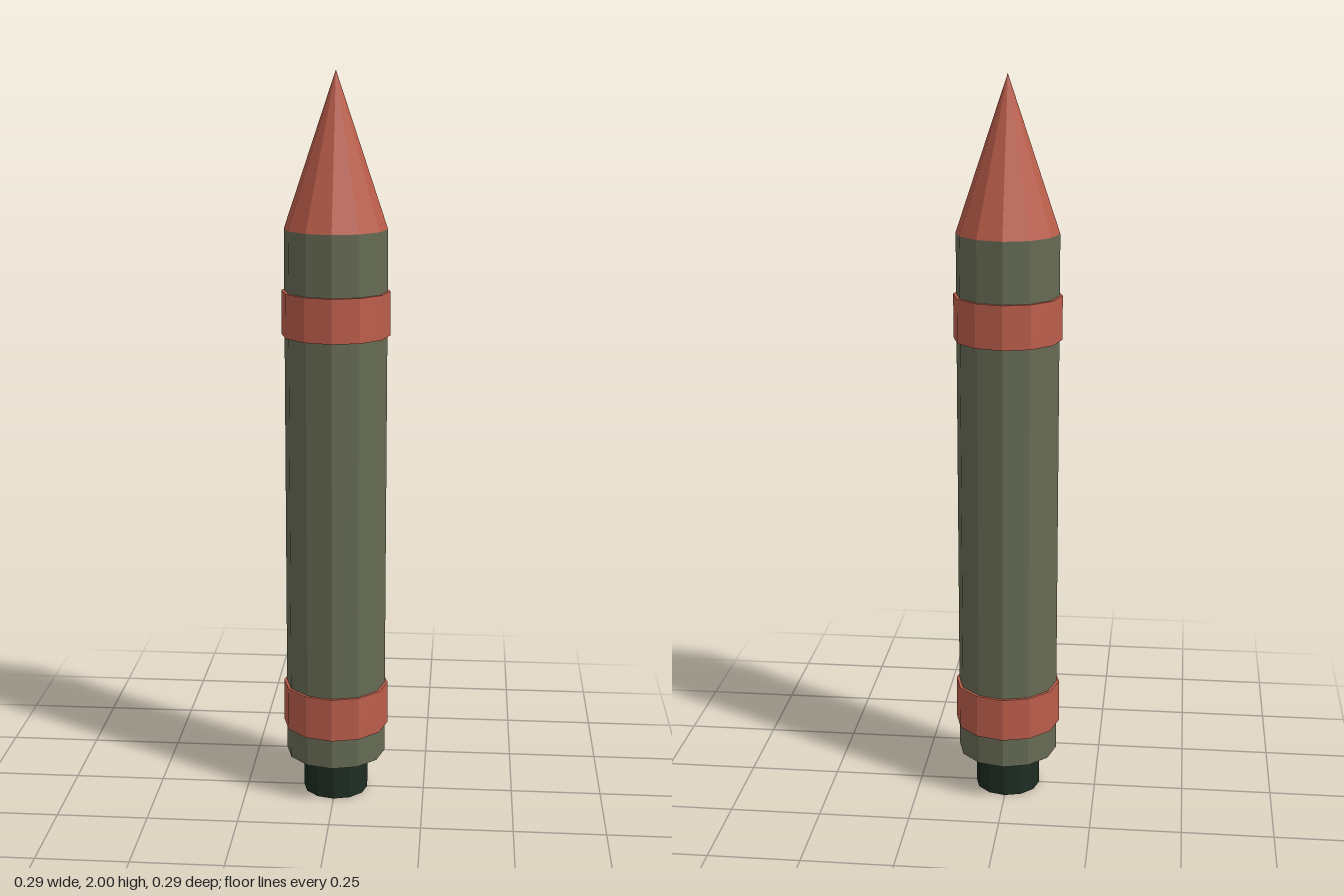
import * as THREE from 'three';

const SIDES = 12;

export function createModel() {
  const model = new THREE.Group();
  model.name = 'rocket';

  const olive = new THREE.MeshStandardMaterial({ color: 0x666b54, flatShading: true });
  olive.name = 'olive';
  const red = new THREE.MeshStandardMaterial({ color: 0xbc5e4b, flatShading: true });
  red.name = 'brick red';
  const dark = new THREE.MeshStandardMaterial({ color: 0x1e2c22, flatShading: true });
  dark.name = 'dark green';

  // Add a closed faceted cylinder (or cone) spanning two heights
  function addSection(name, material, bottom, top, radius, topRadius = radius) {
    const height = top - bottom;
    const geometry = topRadius === 0
      ? new THREE.ConeGeometry(radius, height, SIDES)
      : new THREE.CylinderGeometry(topRadius, radius, height, SIDES);
    const mesh = new THREE.Mesh(geometry, material);
    mesh.name = name;
    mesh.position.y = bottom + height / 2;
    model.add(mesh);
  }

  // Nozzle, floating just below the body
  addSection('nozzle', dark, 0, 0.095, 0.09);

  // Body tube and nose cone
  addSection('body', olive, 0.113, 1.59, 0.138);
  addSection('noseCone', red, 1.59, 2, 0.138, 0);

  // Raised bands around the body
  addSection('lowerBand', red, 0.198, 0.319, 0.146);
  addSection('upperBand', red, 1.307, 1.426, 0.146);

  return model;
}
